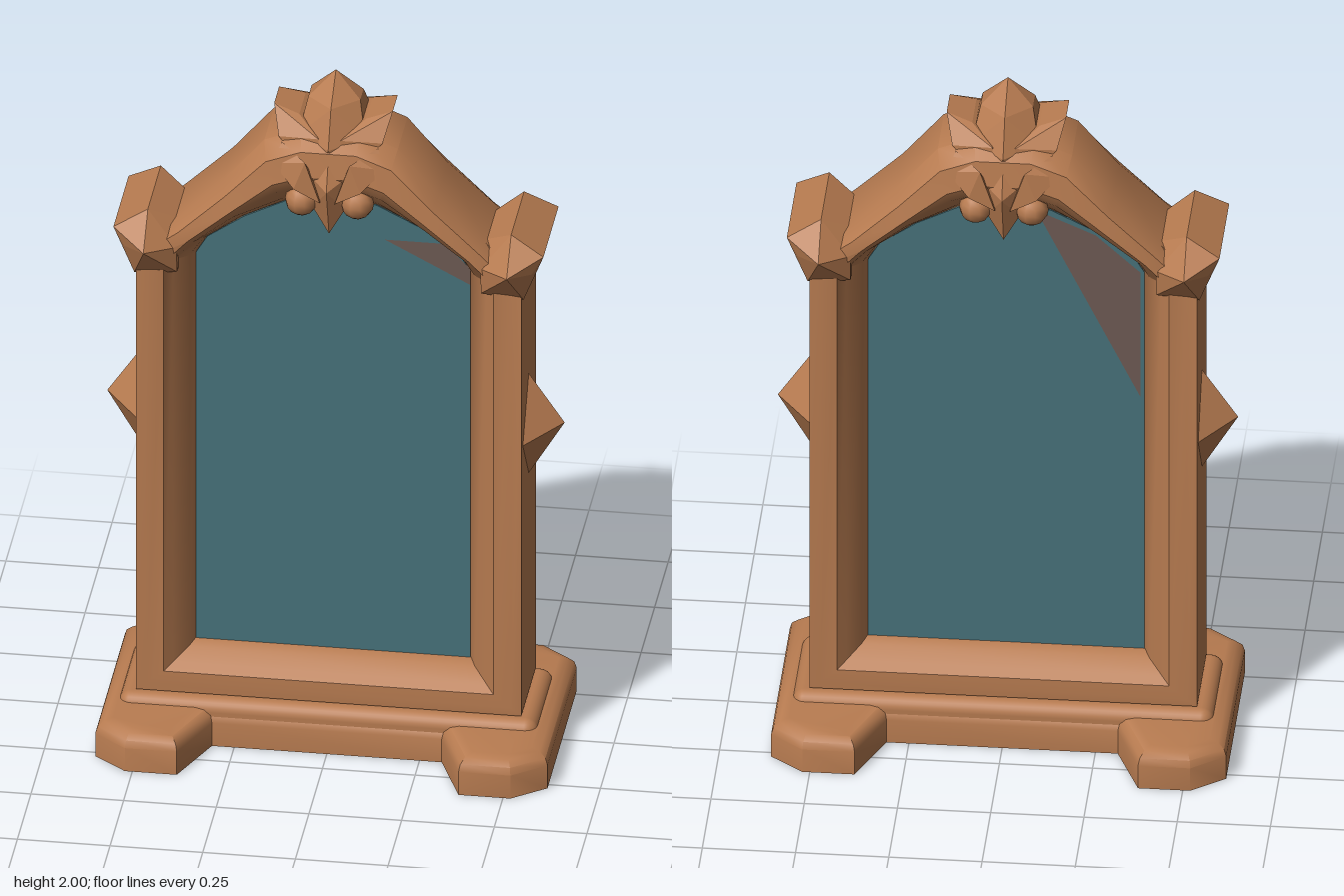
import * as THREE from 'three';
import { toCreasedNormals } from 'three/addons/utils/BufferGeometryUtils.js';
import { RoundedBoxGeometry } from 'three/addons/geometries/RoundedBoxGeometry.js';
import { ConvexGeometry } from 'three/addons/geometries/ConvexGeometry.js';

const mat = (name, color) => {
  const m = new THREE.MeshStandardMaterial({ color });
  m.name = name;
  return m;
};

// Half of the frame, bottom corner to crown: outer x, y, inner x, y, roundness
const HALF = [
  [0.52, 0.14, 0.37, 0.26, 0],
  [0.52, 1.46, 0.37, 1.44, 0],
  [0.42, 1.56, 0.34, 1.49, 0.7],
  [0.29, 1.69, 0.24, 1.56, 1],
  [0.18, 1.82, 0.12, 1.62, 1],
  [0.08, 1.86, 0.05, 1.64, 1],
];
const LOOP = [...HALF, ...[...HALF].reverse().map(([a, b, c, d, r]) => [-a, b, -c, d, r])];

// Moulding section swept round the loop, from the glass edge to the outer face
function frameGeometry() {
  const pos = [], idx = [];
  const section = (r) => {
    const front = [
      [0, 0.045], [0.1, 0.075], [0.35, 0.115 + 0.025 * r], [0.5, 0.138 + 0.018 * r],
      [0.82, 0.14 + 0.005 * r], [1, 0.138 - 0.05 * r],
    ];
    return [...front, ...[...front].reverse().map(([t, z]) => [t, -z])];
  };
  const n = 12, count = LOOP.length;
  for (const [ox, oy, ix, iy, r] of LOOP)
    for (const [t, z] of section(r)) pos.push(ix + (ox - ix) * t, iy + (oy - iy) * t, z);
  for (let i = 0; i < count; i++)
    for (let j = 0; j < n; j++) {
      const i2 = (i + 1) % count, j2 = (j + 1) % n;
      const a = i * n + j, b = i * n + j2, c = i2 * n + j2, d = i2 * n + j;
      idx.push(a, b, c, a, c, d);
    }
  const g = new THREE.BufferGeometry();
  g.setAttribute('position', new THREE.Float32BufferAttribute(pos, 3));
  g.setIndex(idx);
  return toCreasedNormals(g, 0.6);
}

// H-shaped foot slab with a rounded top edge and a flat underside
function baseGeometry() {
  const q = [[0.31, 0.17], [0.38, 0.34], [0.52, 0.34], [0.61, 0.27]];
  const right = [...[...q].map(([x, z]) => [x, -z]), ...[...q].reverse()];
  const pts = [...right, ...[...right].reverse().map(([x, z]) => [-x, z])];
  const shape = new THREE.Shape(pts.map(([x, z]) => new THREE.Vector2(x, z)));
  const g = new THREE.ExtrudeGeometry(shape, {
    depth: 0.07, bevelThickness: 0.04, bevelSize: 0.045, bevelOffset: -0.045, bevelSegments: 3,
  });
  g.rotateX(-Math.PI / 2);
  const p = g.attributes.position;
  for (let i = 0; i < p.count; i++) p.setY(i, Math.max(0, p.getY(i)));
  g.deleteAttribute('normal');
  g.deleteAttribute('uv');
  return toCreasedNormals(g, 0.7);
}

// Faceted carving; mx and mz mirror it in x and z
const gem = (pts, mx = 1, mz = 1) =>
  new ConvexGeometry(pts.map(([x, y, z]) => new THREE.Vector3(x * mx, y, z * mz)));

// The same points on both sides of z = 0
const bothZ = (pts) => pts.flatMap(([x, y, z]) => [[x, y, z], [x, y, -z]]);

export function createModel() {
  const model = new THREE.Group();
  const wood = mat('carved wood', 0xb77b50);
  const glass = mat('mirror glass', 0x47717a);
  const tarnish = mat('tarnish', 0x6d5a53);
  tarnish.side = THREE.DoubleSide;
  const add = (name, geometry, material = wood) => {
    const m = new THREE.Mesh(geometry, material);
    m.name = name;
    model.add(m);
    return m;
  };

  // Base and plinth
  add('base', baseGeometry());
  add('baseBar', new RoundedBoxGeometry(1.13, 0.12, 0.33, 3, 0.035)).position.y = 0.073;
  add('plinth', new THREE.BoxGeometry(1.0, 0.06, 0.25)).position.y = 0.14;

  // Frame and mirror
  add('frame', frameGeometry());
  const pane = new THREE.Shape(LOOP.map(([, , x, y]) => new THREE.Vector2(x, y)));
  const paneGeo = new THREE.ExtrudeGeometry(pane, { depth: 0.1, bevelEnabled: false });
  add('mirror', paneGeo.translate(0, 0, -0.05), glass);

  // Tarnished corners, front and back
  const patch = (name, pts, z) => {
    const s = new THREE.Shape(pts.map(([x, y]) => new THREE.Vector2(x, y)));
    add(name, new THREE.ShapeGeometry(s), tarnish).position.z = z;
  };
  patch('frontTarnish', [[0.14, 1.52], [0.37, 1.4], [0.37, 1.45], [0.3, 1.52]], 0.053);
  patch('backTarnish', [[-0.08, 1.62], [-0.36, 1.05], [-0.36, 1.44], [-0.24, 1.55]], -0.053);

  for (const s of [1, -1]) {
    const side = s > 0 ? 'left' : 'right';
    // Flared capital on each post
    add(side + 'Capital', gem(bothZ([
      [0.41, 1.42, 0.13], [0.525, 1.41, 0.13], [0.49, 1.51, 0.205], [0.41, 1.5, 0.14],
      [0.58, 1.55, 0.14], [0.55, 1.5, 0.15], [0.49, 1.6, 0.12], [0.42, 1.56, 0.08],
    ]), s));
    // Diamond boss on the outer face
    add(side + 'Boss', gem([
      [0.515, 0.8, 0], [0.515, 1.12, 0], [0.515, 0.95, 0.115], [0.515, 0.95, -0.115],
      [0.55, 1.05, 0], [0.617, 0.97, 0],
    ], s));
    // Leaves spreading sideways from the crest
    add(side + 'CrestLeaf', gem(bothZ([
      [0.16, 1.91, 0.045], [0.14, 1.84, 0.1], [0.03, 1.72, 0.13], [0.03, 1.85, 0.12], [0.09, 1.89, 0.06],
    ]), s));
    for (const f of [1, -1]) {
      const face = f > 0 ? 'Front' : 'Back';
      // Slanting leaf and small curl beside the pendant
      add(side + face + 'Leaf', gem([
        [0.02, 1.68, 0.1], [0.02, 1.68, 0.165], [0.13, 1.83, 0.11], [0.15, 1.78, 0.14], [0.09, 1.72, 0.17], [0.06, 1.8, 0.165],
      ], s, f));
      const curl = add(side + face + 'Curl', new THREE.SphereGeometry(0.045, 10, 8));
      curl.position.set(0.075 * s, 1.665, 0.12 * f);
    }
  }

  // Crest finial with a pendant leaf on each face
  add('crestFinial', gem(bothZ([
    [0, 2.0, 0], [0.07, 1.93, 0.03], [-0.07, 1.93, 0.03], [0, 1.93, 0.095], [0.09, 1.84, 0.08],
    [-0.09, 1.84, 0.08], [0, 1.83, 0.145], [0.06, 1.72, 0.1], [-0.06, 1.72, 0.1],
  ])));
  for (const f of [1, -1])
    add(f > 0 ? 'frontPendant' : 'backPendant', gem([
      [0, 1.88, 0.11], [0.08, 1.77, 0.12], [-0.08, 1.77, 0.12], [0, 1.72, 0.18],
      [0.045, 1.65, 0.13], [-0.045, 1.65, 0.13], [0, 1.57, 0.13], [0, 1.7, 0.06],
    ], 1, f));

  return model;
}
